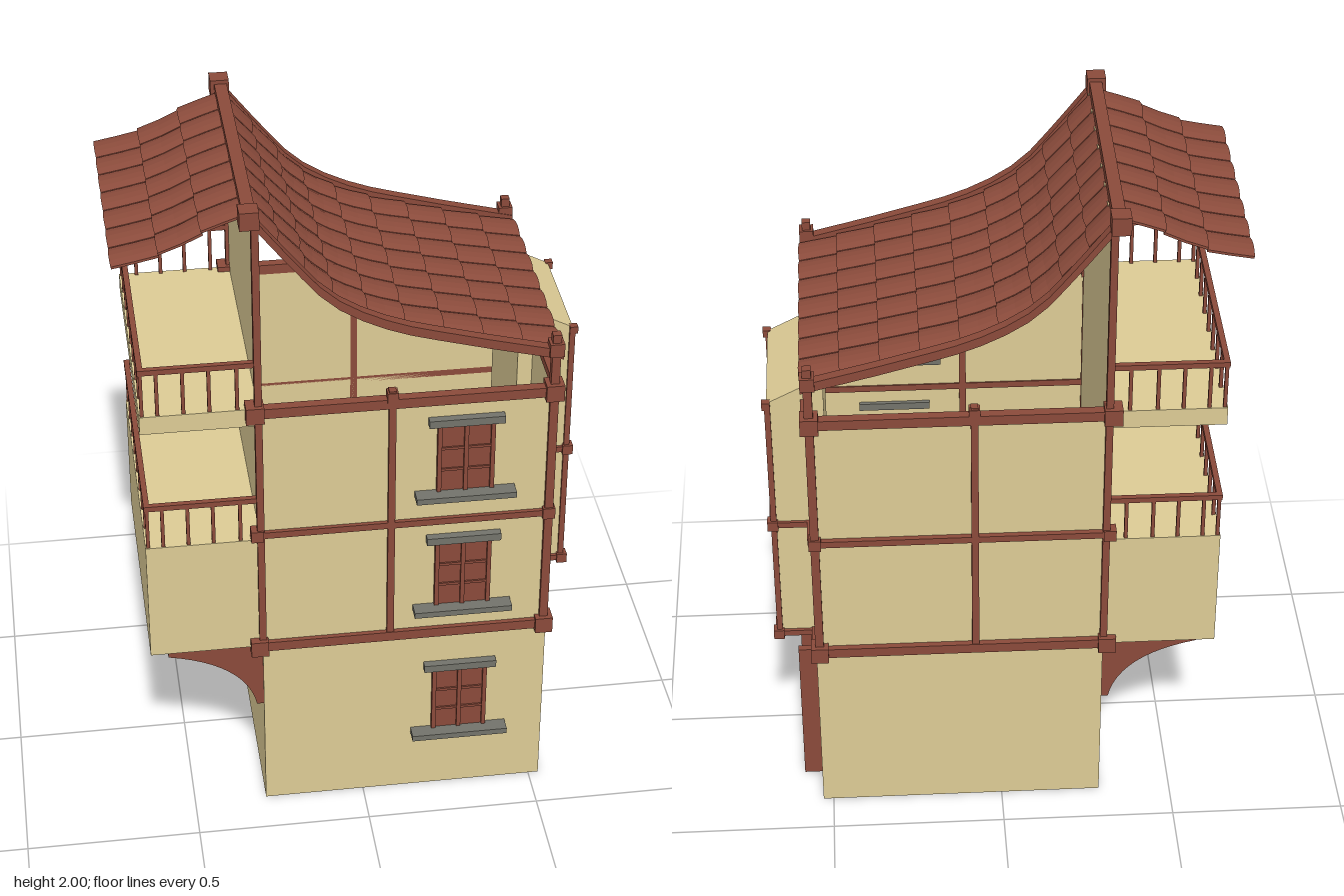
import * as THREE from 'three';
import { mergeGeometries } from 'three/addons/utils/BufferGeometryUtils.js';

const mat = (color) => new THREE.MeshStandardMaterial({ color, side: THREE.DoubleSide, flatShading: true });

export function createModel() {
  const root = new THREE.Group();
  const cream = mat(0xdccb95), wood = mat(0x8a4a3a), tile = mat(0x8c4c3c), grey = mat(0x73736b);

  const group = (name, parent = root) => {
    const g = new THREE.Group();
    g.name = name;
    parent.add(g);
    return g;
  };
  const add = (parent, name, geo, m) => {
    const mesh = new THREE.Mesh(geo, m);
    mesh.name = name;
    parent.add(mesh);
    return mesh;
  };
  // box given by its limits on each axis
  const box = (parent, name, m, x0, x1, y0, y1, z0, z1) => {
    const geo = new THREE.BoxGeometry(x1 - x0, y1 - y0, z1 - z0);
    geo.translate((x0 + x1) / 2, (y0 + y1) / 2, (z0 + z1) / 2);
    return add(parent, name, geo, m);
  };
  const joint = (parent, x, y, z, s = 0.05) =>
    box(parent, 'joint', wood, x - s / 2, x + s / 2, y - s / 2, y + s / 2, z - s / 2, z + s / 2);
  const polygon = (pts) => new THREE.Shape(pts.map(([x, y]) => new THREE.Vector2(x, y)));
  const extrude = (shape, depth) => new THREE.ExtrudeGeometry(shape, { depth, bevelEnabled: false });

  const X0 = -0.29, X1 = 0.53, Z0 = -0.38, Z1 = 0.37, T = 0.008;

  // Walls: closed ground floor, open-topped upper storeys, tall wall under the ridge
  const walls = group('walls');
  box(walls, 'groundFloor', cream, X0, X1, 0, 0.57, Z0, Z1);
  box(walls, 'frontWall', cream, X0, X1, 0.57, 1.37, Z1 - T, Z1);
  box(walls, 'backWall', cream, X0, X1, 0.57, 1.37, Z0, Z0 + T);
  box(walls, 'doorSideWall', cream, X1 - T, X1, 0.57, 1.37, Z0 + T, Z1 - T);
  box(walls, 'ridgeWall', cream, X0, X0 + T, 0.57, 1.95, Z0 + T, Z1 - T);

  // Timber frame on the front and back walls
  const frame = group('timberFrame');
  for (const z of [Z1, Z0 - 0.004]) {
    const post = (x, y1, w) => box(frame, 'post', wood, x - w, x + w, 0.57, y1, z - 0.012, z + 0.012);
    post(X0, 1.99, 0.01);
    post(0.075, 1.41, 0.01);
    post(0.52, 1.55, 0.012);
    box(frame, 'lowerBeam', wood, X0, X1, 0.56, 0.59, z - 0.014, z + 0.014);
    box(frame, 'middleBeam', wood, X0, X1, 0.955, 0.975, z - 0.012, z + 0.012);
    box(frame, 'upperBeam', wood, X0, X1, 1.355, 1.385, z - 0.014, z + 0.014);
    for (const x of [X0 - 0.01, 0.52]) {
      joint(frame, x, 0.575, z);
      joint(frame, x, 0.965, z, 0.035);
      joint(frame, x, 1.37, z);
    }
    joint(frame, 0.075, 1.39, z, 0.03);
    joint(frame, 0.52, 1.505, z, 0.04);
    joint(frame, -0.305, 1.97, z, 0.052);
  }
  // Beams of the door side, broken by the bay
  for (const [z0, z1] of [[0.07, Z1], [Z0, -0.29]]) {
    box(frame, 'sideLowerBeam', wood, X1 - 0.012, X1 + 0.012, 0.56, 0.59, z0, z1);
    box(frame, 'sideMiddleBeam', wood, X1 - 0.01, X1 + 0.01, 0.955, 0.975, z0, z1);
    box(frame, 'sideUpperBeam', wood, X1 - 0.012, X1 + 0.012, 1.36, 1.385, z0, z1);
  }

  // Bay with a sloping top
  const bay = group('bay');
  const bayShape = polygon([[0.48, 0.585], [0.635, 0.585], [0.635, 1.375], [0.48, 1.455]]);
  add(bay, 'bayBody', extrude(bayShape, 0.36), cream).position.z = -0.29;
  for (const z of [0.07, -0.29]) {
    box(bay, 'bayPost', wood, 0.625, 0.641, 0.57, 1.38, z - 0.008, z + 0.008);
    for (const y of [0.575, 0.965]) {
      box(bay, 'baySideBeam', wood, X1, 0.64, y - 0.009, y + 0.009, z - 0.009, z + 0.009);
      joint(bay, 0.636, y, z, 0.03);
    }
    joint(bay, 0.637, 1.37, z, 0.022);
  }
  for (const y of [0.575, 0.965])
    box(bay, 'bayFrontBeam', wood, 0.628, 0.645, y - 0.01, y + 0.01, -0.29, 0.07);

  // Three shuttered windows, one above the other
  for (const y of [0.2, 0.655, 1.05]) {
    const w = group('window');
    w.position.y = y;
    box(w, 'shutters', wood, 0.2, 0.36, 0.015, 0.24, Z1, 0.376);
    for (const x of [0.2, 0.274, 0.348])
      box(w, 'upright', wood, x, x + 0.012, 0.02, 0.24, Z1, 0.385);
    for (const h of [0.085, 0.155])
      box(w, 'crossbar', wood, 0.2, 0.36, h, h + 0.008, Z1, 0.381);
    box(w, 'sill', grey, 0.14, 0.42, 0, 0.018, Z1 - 0.02, 0.414);
    box(w, 'lintel', grey, 0.175, 0.385, 0.237, 0.26, Z1 - 0.02, 0.393);
  }

  // Double door with clipped panels
  const door = group('door');
  for (const z of [0.032, -0.25]) box(door, 'jamb', wood, X1, 0.585, 0, 0.478, z - 0.01, z + 0.01);
  box(door, 'header', wood, X1 - 0.01, 0.536, 0.45, 0.512, -0.26, 0.042);
  box(door, 'leaves', wood, X1 - 0.01, 0.54, 0, 0.47, -0.24, 0.022);
  box(door, 'meetingStile', wood, 0.54, 0.55, 0, 0.45, -0.118, -0.106);
  box(door, 'midRail', wood, 0.54, 0.546, 0.217, 0.23, -0.24, 0.022);
  for (const s of [-1, 1]) for (const y of [0.016, 0.24]) {
    const panel = polygon([[0.01, 0], [0.045, 0], [0.092, 0.045], [0.092, 0.148], [0.045, 0.193], [0.01, 0.193]]
      .map(([u, v]) => [0.112 + s * u, y + v]));
    add(door, 'doorPanel', extrude(panel, 0.004).rotateY(Math.PI / 2), cream).position.x = 0.54;
  }

  // Balconies: solid base and railing
  const balcony = (name, y0, y1, railTop) => {
    const b = group(name), L = -0.61, n = 8;
    box(b, 'balconyBase', cream, L, X0, y0, y1, -0.388, Z1);
    box(b, 'endRail', wood, L, L + 0.016, railTop - 0.016, railTop, -0.388, Z1);
    const baluster = (x, z) => box(b, 'baluster', wood, x - 0.005, x + 0.005, y1, railTop, z - 0.005, z + 0.005);
    for (const z of [-0.38, 0.362]) {
      box(b, 'sideRail', wood, L, X0, railTop - 0.016, railTop, z - 0.008, z + 0.008);
      for (const x of [-0.602, -0.56, -0.49, -0.42, -0.345]) baluster(x, z);
    }
    for (let i = 1; i < n; i++) baluster(-0.602, -0.38 + 0.742 * i / n);
  };
  balcony('lowerBalcony', 0.57, 0.945, 1.085);
  balcony('upperBalcony', 1.325, 1.38, 1.527);

  // Curved brackets below the lower balcony
  const bracket = new THREE.Shape();
  bracket.moveTo(X0, 0.57).lineTo(-0.56, 0.57).lineTo(-0.56, 0.553);
  bracket.bezierCurveTo(-0.42, 0.525, -0.33, 0.46, -0.31, 0.355);
  bracket.lineTo(X0, 0.355);
  for (const z of [-0.37, 0.34]) add(root, 'bracket', extrude(bracket, 0.025), wood).position.z = z;

  // Roof: rows of humped tiles following a slope curve
  const roof = group('roof');
  const curve = (pts) => new THREE.CatmullRomCurve3(pts.map(([x, y]) => new THREE.Vector3(x, y, 0)));
  const mainSlope = curve([[-0.3, 1.965], [-0.2, 1.835], [-0.087, 1.705], [0.06, 1.62], [0.27, 1.555], [0.54, 1.485]]);
  const rearSlope = curve([[-0.305, 1.965], [-0.415, 1.92], [-0.52, 1.866], [-0.66, 1.828]]);
  const tiles = (name, slope, rows) => {
    const parts = [];
    for (let r = 0; r < rows; r++) for (let c = 0; c < 7; c++) {
      const geo = new THREE.BoxGeometry(1, 0.007, 0.096, 2, 1, 4), p = geo.attributes.position;
      for (let i = 0; i < p.count; i++) {
        const u = p.getX(i) + 0.5, z = p.getZ(i);
        const t = Math.min(1, (r + u) / rows);
        const at = slope.getPointAt(t), d = slope.getTangentAt(t);
        const side = Math.sign(d.x);
        // lift towards the lower edge so each row overlaps the next
        const h = p.getY(i) + 0.007 * u + 0.008 * (1 - (z / 0.048) ** 2) - 0.003;
        p.setXYZ(i, at.x - d.y * h * side, at.y + Math.abs(d.x) * h, z - 0.305 + c * 0.1);
      }
      geo.computeVertexNormals();
      parts.push(geo);
    }
    add(roof, name, mergeGeometries(parts), tile);
  };
  tiles('mainTiles', mainSlope, 9);
  tiles('rearTiles', rearSlope, 3);

  // Barge beams along both edges of the main slope, and the ridge pole
  const beam = mainSlope.getSpacedPoints(14).map((v) => [v.x, v.y]);
  const barge = polygon([...beam.map(([x, y]) => [x, y + 0.014]), ...beam.reverse().map(([x, y]) => [x, y - 0.014])]);
  for (const z of [-0.392, 0.35]) add(roof, 'bargeBeam', extrude(barge, 0.03), wood).position.z = z;
  box(roof, 'ridgePole', wood, -0.32, -0.285, 1.955, 1.985, -0.4, 0.39);

  return root;
}
